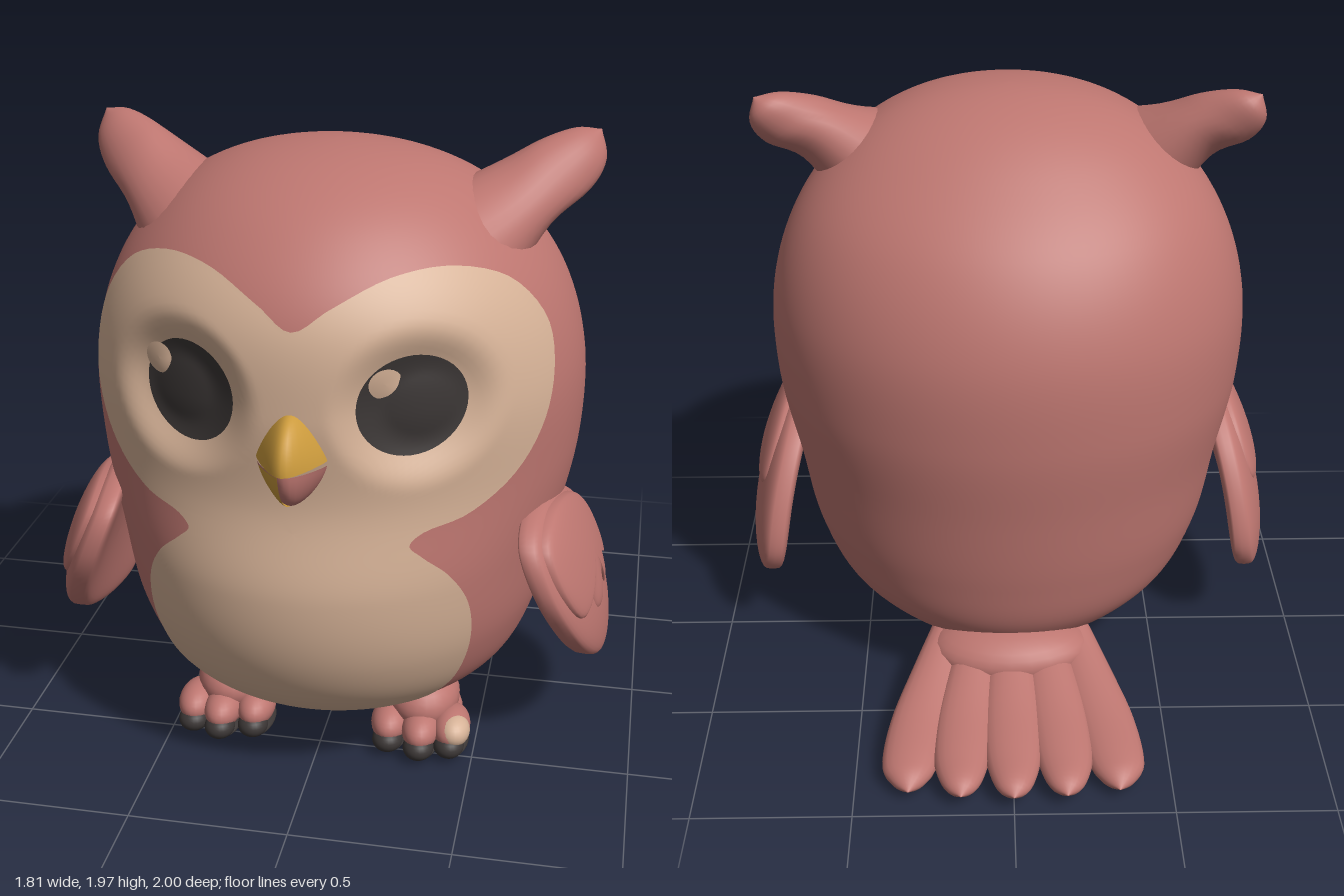
import * as THREE from 'three';

const mat = (name, color, side = THREE.FrontSide) => {
  const m = new THREE.MeshStandardMaterial({ color, side });
  m.name = name;
  return m;
};

// Smooth interpolation through evenly spaced values, t in 0..1
function smooth(list, t) {
  const n = list.length - 1, s = Math.min(Math.max(t, 0), 1) * n;
  const i = Math.min(Math.floor(s), n - 1), f = s - i;
  const b = list[i], c = list[i + 1];
  const a = i > 0 ? list[i - 1] : 2 * b - c;
  const d = i + 2 <= n ? list[i + 2] : 2 * c - b;
  return b + 0.5 * f * (c - a + f * (2 * a - 5 * b + 4 * c - d + f * (3 * (b - c) + d - a)));
}

// Surface from a rule f(u, v) -> [x, y, z], closed around v
function grid(rows, cols, f) {
  const pos = [], idx = [];
  for (let i = 0; i <= rows; i++)
    for (let j = 0; j < cols; j++) pos.push(...f(i / rows, j / cols));
  for (let i = 0; i < rows; i++)
    for (let j = 0; j < cols; j++) {
      const k = (j + 1) % cols, a = i * cols + j, b = a + cols, c = (i + 1) * cols + k, d = i * cols + k;
      idx.push(a, b, c, a, c, d);
    }
  const g = new THREE.BufferGeometry();
  g.setAttribute('position', new THREE.Float32BufferAttribute(pos, 3));
  g.setIndex(idx);
  g.computeVertexNormals();
  return g;
}

// Loft through elliptical rings: [centre xyz, first radius xyz, second radius xyz]
function loft(rings, rows = 20, cols = 24) {
  const ch = [...Array(9).keys()].map(k => rings.map(r => r[k]));
  const v3 = (r, k) => new THREE.Vector3(r[k], r[k + 1], r[k + 2]);
  const axis = v3(rings[2], 0).sub(v3(rings[0], 0));
  const flip = v3(rings[1], 3).cross(v3(rings[1], 6)).dot(axis) > 0 ? -1 : 1;
  return grid(rows, cols, (u, v) => {
    const q = ch.map(l => smooth(l, u)), a = v * Math.PI * 2 * flip;
    return [0, 1, 2].map(k => q[k] + q[k + 3] * Math.cos(a) + q[k + 6] * Math.sin(a));
  });
}

const closed = pts => new THREE.CatmullRomCurve3(pts.map(p => new THREE.Vector3(p[0], p[1], 0)), true);

// Body sections from bottom to top
const BOTTOM = 0.09, HEIGHT = 1.86;
const WIDTH = [0, 0.33, 0.56, 0.665, 0.715, 0.77, 0.77, 0.69, 0.53, 0.3, 0];
const FRONT = [0.1, 0.45, 0.7, 0.84, 0.885, 0.845, 0.865, 0.835, 0.69, 0.47, 0.2];
const BACK = [0.1, -0.28, -0.43, -0.49, -0.53, -0.565, -0.55, -0.44, -0.24, -0.03, 0.2];
const MID = [0.1, 0.1, 0.12, 0.12, 0.12, 0.12, 0.12, 0.12, 0.15, 0.19, 0.2];

// Hollow of the eye sockets
function socket(x, y) {
  const d = Math.hypot(Math.abs(x) - 0.34, y - 1.33) / 0.25;
  return 0.075 * (1 - THREE.MathUtils.smoothstep(d, 0.35, 1));
}

function bodyPoint(u, v) {
  const a = -v * Math.PI * 2, y = BOTTOM + HEIGHT * (1 - Math.cos(Math.PI * u)) / 2;
  const x = smooth(WIDTH, u) * Math.sin(a), m = smooth(MID, u), c = Math.cos(a);
  if (c < 0) return [x, y, m + (m - smooth(BACK, u)) * c];
  return [x, y, m + (smooth(FRONT, u) - m) * c - socket(x, y)];
}

// Thin patch lying on the front of the body; outline runs clockwise
function patch(outline, cx, cy, lift, bulge = 0, rows = 28, cols = 140) {
  const curve = closed(outline);
  return grid(rows, cols, (u, v) => {
    const p = curve.getPoint((1 - v) % 1);
    const x = cx + (p.x - cx) * u, y = cy + (p.y - cy) * u;
    const t = Math.acos(1 - 2 * (y - BOTTOM) / HEIGHT) / Math.PI;
    const m = smooth(MID, t), w = smooth(WIDTH, t);
    const z = (smooth(FRONT, t) - m) * Math.sqrt(Math.max(0, 1 - (x / w) ** 2));
    return [x * (1 + lift), y, m + z * (1 + lift) - socket(x, y) + 0.003 + bulge * (1 - u * u)];
  });
}

const disc = (cx, cy, rx, ry) => [...Array(16).keys()].map(i => {
  const a = -i / 16 * Math.PI * 2;
  return [cx + rx * Math.cos(a), cy + ry * Math.sin(a)];
});

// Rounded slab for a wing; outline is [z, y], s is the side
function wingSlab(outline, cz, cy, thick, out, s) {
  const curve = closed(outline);
  return grid(28, 96, (u, v) => {
    const p = curve.getPoint(s > 0 ? (1 - v) % 1 : v);
    const r = Math.sin(Math.PI * u), side = Math.cos(Math.PI * u);
    const z = cz + (p.x - cz) * r, y = cy + (p.y - cy) * r, d = 0.85 - y;
    const x = 0.7 + 0.5 * d - 0.4 * d * d - 0.35 * (z - 0.22) ** 2 + out;
    return [s * (x + thick * Math.sign(side) * Math.sqrt(Math.abs(side))), y, z];
  });
}

export function createModel() {
  const model = new THREE.Group();
  model.name = 'owl';
  const rose = mat('rose feathers', 0xbd7670), cream = mat('cream', 0xd6b297, THREE.DoubleSide);
  const dark = mat('charcoal', 0x3b3635, THREE.DoubleSide), gold = mat('beak yellow', 0xcb9a3c, THREE.DoubleSide);
  const add = (name, geo, m, parent = model) => {
    const mesh = new THREE.Mesh(geo, m);
    mesh.name = name;
    parent.add(mesh);
    return mesh;
  };
  const ball = (name, m, p, r, parent) => {
    const g = new THREE.SphereGeometry(1, 24, 16).scale(...r).translate(...p);
    return add(name, g, m, parent);
  };

  add('body', grid(84, 112, bodyPoint), rose);

  // Face mask and belly in one continuous marking
  const half = [[0.1, 1.62], [0.25, 1.69], [0.4, 1.7], [0.55, 1.64], [0.66, 1.5], [0.69, 1.35], [0.67, 1.2],
    [0.6, 1.07], [0.48, 0.98], [0.36, 0.945], [0.325, 0.91], [0.36, 0.87], [0.43, 0.8], [0.48, 0.7],
    [0.495, 0.58], [0.475, 0.45], [0.42, 0.33], [0.3, 0.235], [0.15, 0.21]];
  const mask = [[0, 1.56], ...half, [0, 0.21], ...half.slice().reverse().map(p => [-p[0], p[1]])];
  add('faceAndBelly', patch(mask, 0, 0.95, 0.012, 0, 40, 180), cream);

  // Eyes, both glints on the same side
  for (const s of [1, -1]) {
    add('eye', patch(disc(s * 0.317, 1.33, 0.145, 0.15), s * 0.317, 1.33, 0.02, 0.015, 12, 48), dark);
    const gx = s > 0 ? 0.245 : -0.415;
    add('eyeGlint', patch(disc(gx, 1.4, 0.042, 0.048), gx, 1.4, 0.03, 0.008, 4, 24), cream);
  }

  // Beak: half domes that narrow away from the mouth line
  const jaw = (dir, y0, r, phi, len) => {
    const g = new THREE.SphereGeometry(1, 24, 16, phi, len, 0, Math.PI / 2);
    const p = g.attributes.position;
    for (let i = 0; i < p.count; i++) {
      const h = p.getY(i), z = p.getZ(i);
      const taper = (1 - 0.35 * h) * (1 - 0.45 * Math.max(z, 0));
      p.setXYZ(i, p.getX(i) * r[0] * taper, h * r[1], z * r[2]);
    }
    if (dir < 0) g.rotateZ(Math.PI);
    g.translate(0, y0, 0.845);
    g.computeVertexNormals();
    return g;
  };
  add('upperBeak', jaw(1, 1.19, [0.11, 0.14, 0.155], 0, Math.PI * 2), gold);
  add('lowerBeakRight', jaw(-1, 1.175, [0.11, 0.13, 0.12], -Math.PI / 2, Math.PI * 2), rose);
  add('lowerBeakLeft', jaw(-1, 1.172, [0.112, 0.132, 0.123], Math.PI * 0.6, Math.PI * 0.3), gold);

  const wingLine = [[0.62, 0.83], [0.45, 0.9], [0.2, 0.86], [0, 0.73], [-0.11, 0.53], [-0.13, 0.37],
    [-0.06, 0.275], [0.1, 0.26], [0.35, 0.34], [0.54, 0.49], [0.64, 0.68]];
  const covertLine = [[0.6, 0.82], [0.45, 0.885], [0.2, 0.84], [0.06, 0.74], [0.01, 0.6], [0.05, 0.56],
    [0.11, 0.63], [0.16, 0.54], [0.22, 0.53], [0.27, 0.59], [0.33, 0.52], [0.39, 0.53], [0.44, 0.6],
    [0.53, 0.57], [0.61, 0.69]];
  for (const s of [1, -1]) {
    // Ear tuft
    add('earTuft', loft([
      [s * 0.42, 1.68, 0.27, s * 0.14, -0.12, 0, 0, 0.02, 0.25],
      [s * 0.57, 1.80, 0.17, s * 0.085, -0.08, 0, 0, -0.02, 0.16],
      [s * 0.68, 1.87, 0.09, s * 0.08, -0.07, 0, 0, 0, 0.1],
      [s * 0.75, 1.925, 0.04, s * 0.05, -0.045, 0, 0, 0, 0.06],
      [s * 0.78, 1.965, 0.015, 0, 0, 0, 0, 0, 0]]), rose);

    // Wing with a scalloped upper layer
    const wing = new THREE.Group();
    wing.name = s > 0 ? 'leftWing' : 'rightWing';
    model.add(wing);
    add('wingBlade', wingSlab(wingLine, 0.25, 0.58, 0.065, 0, s), rose, wing);
    add('wingCoverts', wingSlab(covertLine, 0.32, 0.7, 0.05, 0.035, s), rose, wing);

    // Foot with three toes, claws and dark sole
    const foot = new THREE.Group();
    foot.name = s > 0 ? 'leftFoot' : 'rightFoot';
    model.add(foot);
    ball('ankle', rose, [s * 0.32, 0.14, 0.36], [0.12, 0.1, 0.15], foot);
    ball('footPad', rose, [s * 0.32, 0.075, 0.35], [0.13, 0.062, 0.17], foot);
    for (const [x, z] of [[0.225, 0.45], [0.33, 0.48], [0.425, 0.45]]) {
      ball('toe', rose, [s * x, 0.085, z], [0.062, 0.06, 0.1], foot);
      ball('claw', dark, [s * x, 0.048, z + 0.06], [0.05, 0.04, 0.055], foot);
      ball('toeSole', dark, [s * x, 0.024, z - 0.01], [0.058, 0.019, 0.11], foot);
    }
    ball('sole', dark, [s * 0.32, 0.018, 0.34], [0.125, 0.016, 0.16], foot);
    if (s > 0) ball('toePatch', cream, [0.437, 0.09, 0.485], [0.053, 0.05, 0.066], foot);
  }

  // Tail fan of five feathers
  const tail = new THREE.Group();
  tail.name = 'tail';
  model.add(tail);
  for (let i = -2; i <= 2; i++) {
    const x = i * 0.163, end = -1 + 0.012 * i * i, dy = -0.004 * i * i;
    add('tailFeather', loft([
      [x * 0.55, 0.19, -0.25, 0.07, 0, 0, 0, 0.08, 0.02],
      [x * 0.75, 0.145 + dy, -0.46, 0.085, 0, 0, 0, 0.062, 0.02],
      [x * 0.92, 0.1 + dy, -0.66, 0.095, 0, 0, 0, 0.05, 0.01],
      [x, 0.075 + dy, -0.83, 0.088, 0, 0, 0, 0.046, 0],
      [x * 1.01, 0.068 + dy, end + 0.05, 0.055, 0, 0, 0, 0.036, 0],
      [x * 1.01, 0.068 + dy, end, 0, 0, 0, 0, 0, 0]], 24, 20), rose, tail);
  }
  // Root that joins the fan to the body
  ball('tailRoot', rose, [0, 0.17, -0.36], [0.27, 0.1, 0.17], tail);
  return model;
}
